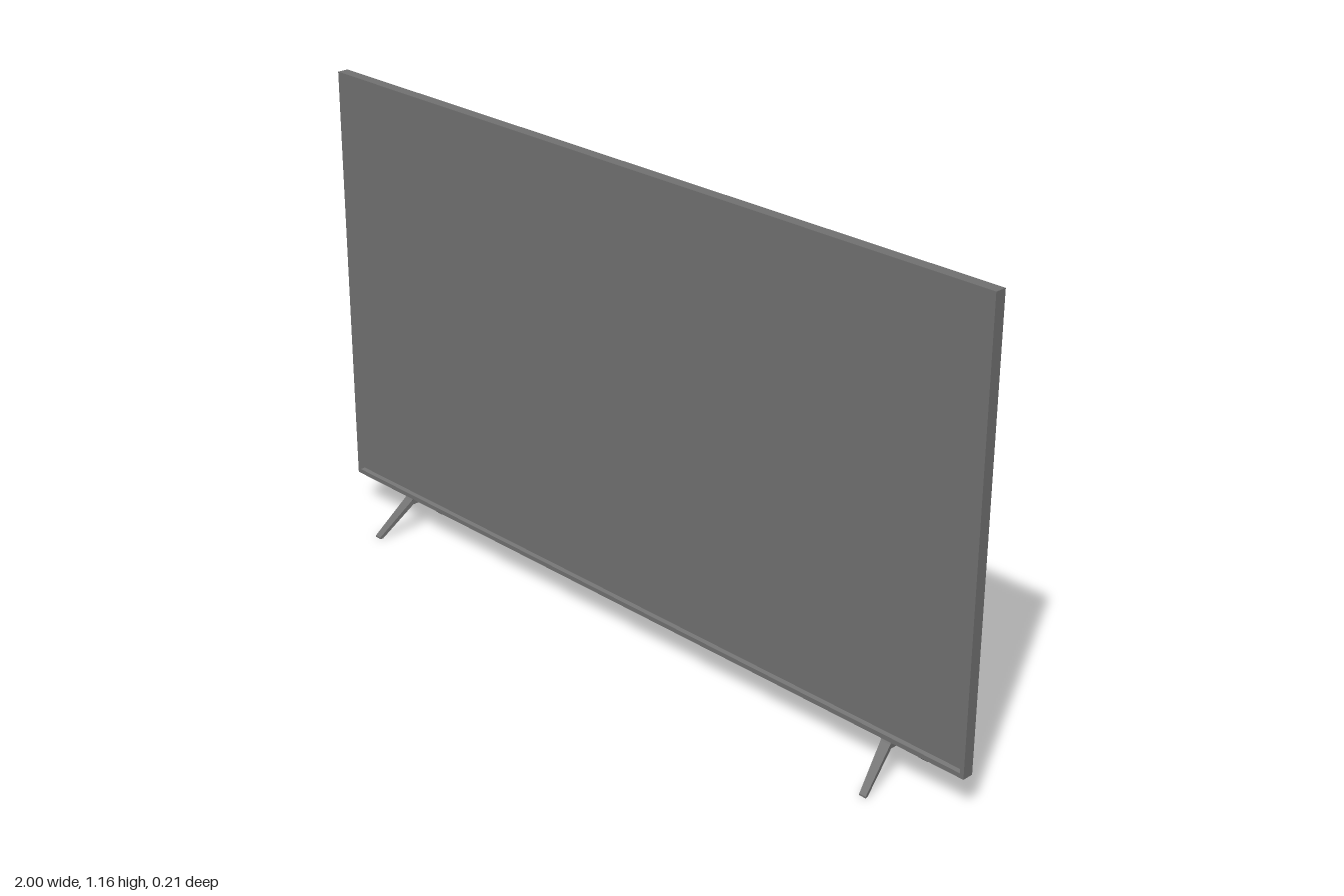
import * as THREE from 'three';
import { toCreasedNormals } from 'three/addons/utils/BufferGeometryUtils.js';

const darkGrey = new THREE.MeshStandardMaterial({ color: 0x707070 });

function part(name, geometry) {
  const mesh = new THREE.Mesh(geometry, darkGrey);
  mesh.name = name;
  return mesh;
}

// Applies a rule to every vertex, then refreshes the normals
function reshape(geometry, rule) {
  const pos = geometry.attributes.position;
  const v = new THREE.Vector3();
  for (let i = 0; i < pos.count; i++) {
    rule(v.fromBufferAttribute(pos, i));
    pos.setXYZ(i, v.x, v.y, v.z);
  }
  geometry.computeVertexNormals();
  return geometry;
}

const polygon = (pts) => pts.map(([x, y]) => new THREE.Vector2(x, y));

const BOTTOM = 0.09, TOP = 1.157, FRONT = 0.014, BACK = -0.014, RECESS = 0.008;

// Thin bezel around the display, its inner walls sloping in at the sides and bottom
function bezel() {
  const shape = new THREE.Shape(polygon([[-1, BOTTOM], [1, BOTTOM], [1, TOP], [-1, TOP]]));
  shape.holes.push(new THREE.Path(polygon([
    [-0.99, BOTTOM + 0.011], [-0.99, TOP - 0.004], [0.99, TOP - 0.004], [0.99, BOTTOM + 0.011],
  ])));
  const geo = new THREE.ExtrudeGeometry(shape, { depth: FRONT - BACK, bevelEnabled: false });
  geo.translate(0, 0, BACK);
  reshape(geo, (v) => {
    if (Math.abs(v.x) > 0.995 || v.z > 0) return;
    v.x -= 0.018 * Math.sign(v.x);
    if (v.y < 0.5) v.y += 0.014;
  });
  return part('bezel', geo);
}

// Display panel, set back inside the bezel
function screen() {
  const depth = FRONT - BACK - RECESS;
  const geo = new THREE.BoxGeometry(1.98, TOP - BOTTOM - 0.015, depth);
  return part('screen', geo.translate(0, (TOP + BOTTOM + 0.007) / 2, BACK + depth / 2));
}

// Rear housing: rounded sides, sloping top, flat underside
function rearHousing() {
  const low = 0.168, high = 1.145, near = -BACK, far = 0.06;
  const shape = new THREE.Shape();
  shape.moveTo(-0.74, near);
  shape.lineTo(0.74, near);
  shape.quadraticCurveTo(0.68, 0.052, 0.62, far);
  shape.lineTo(-0.62, far);
  shape.quadraticCurveTo(-0.68, 0.052, -0.74, near);
  const extruded = new THREE.ExtrudeGeometry(shape, { depth: high - low, bevelEnabled: false, curveSegments: 10 });
  extruded.rotateX(-Math.PI / 2).translate(0, low, 0);
  reshape(extruded, (v) => {
    if (v.y > 0.6) v.y -= 0.055 * (-v.z - near) / (far - near);
  });
  const geo = toCreasedNormals(extruded, 1);
  // The rim shades smoothly into the back of the panel; the underside stays sharp
  const { position, normal } = geo.attributes;
  for (let i = 0; i < position.count; i++) {
    if (position.getZ(i) > BACK - 0.001 && normal.getY(i) > -0.5) normal.setXYZ(i, 0, 0, -1);
  }
  return part('rearHousing', geo);
}

// Inverted V foot whose two legs splay outwards and taper to the floor
function foot(side) {
  const half = [[0.013, 0.09], [0.016, 0.086], [0.104, 0.004], [0.104, 0], [0.097, 0], [0.012, 0.075]];
  const mirrored = half.map(([z, y]) => [-z, y]).reverse();
  const shape = new THREE.Shape(polygon([...half, ...mirrored]));
  const geo = new THREE.ExtrudeGeometry(shape, { depth: 1, bevelEnabled: false });
  geo.translate(0, 0, -0.5).rotateY(Math.PI / 2);
  reshape(geo, (v) => {
    const t = Math.abs(v.z) / 0.104;
    v.x = side * (0.79 + 0.021 * t) + v.x * (0.028 - 0.01 * t);
  });
  return part(side > 0 ? 'leftFoot' : 'rightFoot', geo);
}

export function createModel() {
  const model = new THREE.Group();
  model.name = 'television';
  model.add(bezel(), screen(), rearHousing(), foot(1), foot(-1));
  return model;
}
